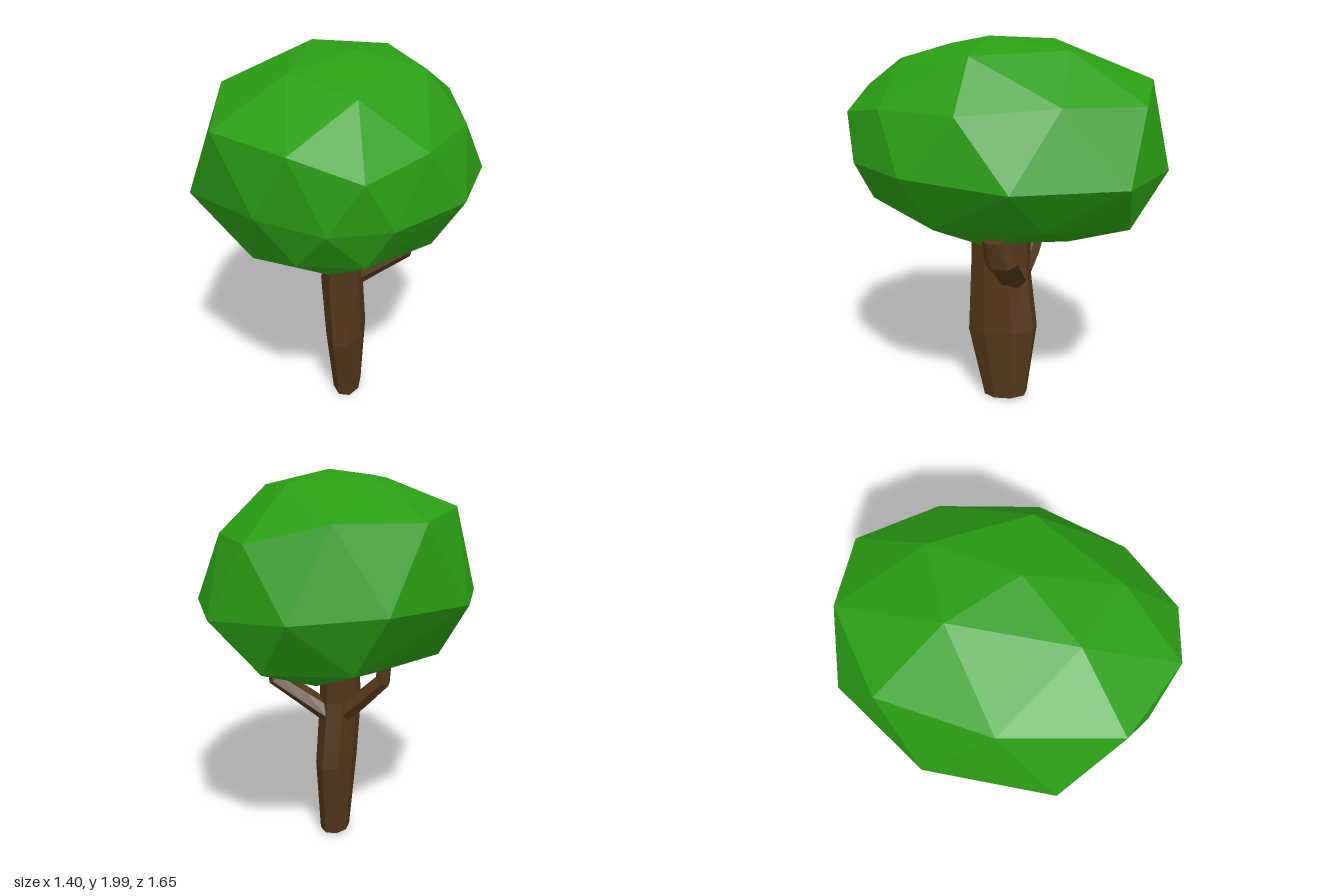
import * as THREE from 'three';
import { ConvexGeometry } from 'three/addons/geometries/ConvexGeometry.js';

const bark = new THREE.MeshStandardMaterial({ color: 0x52361a, flatShading: true });
const leaf = new THREE.MeshStandardMaterial({ color: 0x2a9d14, flatShading: true });

// Closed limb through elliptical sections: [x, y, z, radius across, radius in z, tilt]
function limb(name, sections, sides, skew = 0) {
  const pos = [], index = [];
  for (const [x, y, z, ra, rb, tilt] of sections) {
    for (let i = 0; i < sides; i++) {
      const a = ((i + 0.5) / sides) * Math.PI * 2;
      const u = Math.cos(a) * ra / Math.cos(Math.PI / sides);
      const w = Math.sin(a) * rb / Math.cos(Math.PI / sides);
      pos.push(x + u * Math.cos(tilt), y + u * Math.sin(tilt) - w * skew, z + w);
    }
  }
  const last = sections.length - 1;
  for (let s = 0; s < last; s++) {
    for (let i = 0; i < sides; i++) {
      const a = s * sides + i, b = s * sides + (i + 1) % sides;
      index.push(a, a + sides, b, b, a + sides, b + sides);
    }
  }
  // End caps
  for (let i = 1; i < sides - 1; i++) {
    const t = last * sides;
    index.push(0, i, i + 1, t, t + i + 1, t + i);
  }
  const geo = new THREE.BufferGeometry();
  geo.setAttribute('position', new THREE.Float32BufferAttribute(pos, 3));
  geo.setIndex(index);
  const flat = geo.toNonIndexed();
  flat.computeVertexNormals();
  const mesh = new THREE.Mesh(flat, bark);
  mesh.name = name;
  return mesh;
}

// Faceted crown: hull of irregular rings, from the underside to the top
function crown() {
  const rings = [
    // underside
    [[0.1, 0.96, 0.14], [-0.22, 0.97, -0.08], [0.04, 0.96, -0.34], [0, 1.01, 0.48], [0.27, 0.98, 0.08]],
    // lower shoulder
    [[-0.38, 1.06, 0.46], [-0.11, 1.17, 0.7], [0.2, 1.17, 0.68], [0.47, 1.1, 0.25], [0.46, 1.12, -0.3],
      [0.22, 1.1, -0.67], [-0.2, 1.1, -0.62], [-0.54, 1.08, -0.05]],
    // widest belt
    [[-0.7, 1.35, 0.38], [-0.28, 1.41, 0.75], [0.05, 1.38, 0.82], [0.33, 1.38, 0.72], [0.62, 1.38, 0.36],
      [0.7, 1.35, -0.19], [0.46, 1.35, -0.69], [0.06, 1.37, -0.83], [-0.37, 1.4, -0.72], [-0.69, 1.38, -0.25]],
    // upper shoulder
    [[-0.49, 1.75, 0.62], [-0.11, 1.73, 0.82], [0.21, 1.62, 0.8], [0.45, 1.67, 0.52], [0.6, 1.67, 0.09],
      [0.5, 1.71, -0.38], [0.27, 1.7, -0.73], [-0.12, 1.79, -0.72], [-0.5, 1.78, -0.46], [-0.6, 1.82, 0.08]],
    // top
    [[0.06, 2, 0.08], [-0.2, 1.98, -0.2], [0.17, 1.94, -0.35], [0.4, 1.92, 0.08], [-0.2, 1.95, 0.37], [0.14, 1.89, 0.52]],
  ];
  const points = rings.flat().map((p) => new THREE.Vector3(...p));
  const mesh = new THREE.Mesh(new ConvexGeometry(points), leaf);
  mesh.name = 'crown';
  return mesh;
}

export function createModel() {
  const group = new THREE.Group();
  group.name = 'tree';
  group.add(
    limb('trunk', [
      [0.015, 0.018, 0.01, 0.073, 0.115, 0],
      [0.01, 0.42, 0.027, 0.1, 0.185, 0],
      [-0.01, 0.78, 0.045, 0.103, 0.155, 0],
      [-0.005, 1.08, 0.035, 0.09, 0.16, 0],
    ], 8, 0.08),
    limb('leftBranch', [
      [0.03, 0.71, -0.03, 0.045, 0.07, -0.95],
      [0.18, 0.81, -0.04, 0.038, 0.075, -0.95],
      [0.325, 0.905, -0.05, 0.036, 0.075, -0.65],
      [0.352, 1.03, -0.02, 0.032, 0.05, -0.25],
    ], 6),
    limb('rightBranch', [
      [-0.03, 0.71, -0.04, 0.045, 0.06, 0.8],
      [-0.15, 0.82, -0.07, 0.04, 0.06, 0.8],
      [-0.26, 0.93, -0.09, 0.037, 0.055, 0.5],
      [-0.268, 1.04, -0.09, 0.034, 0.045, 0.05],
    ], 6),
    crown(),
  );
  return group;
}
